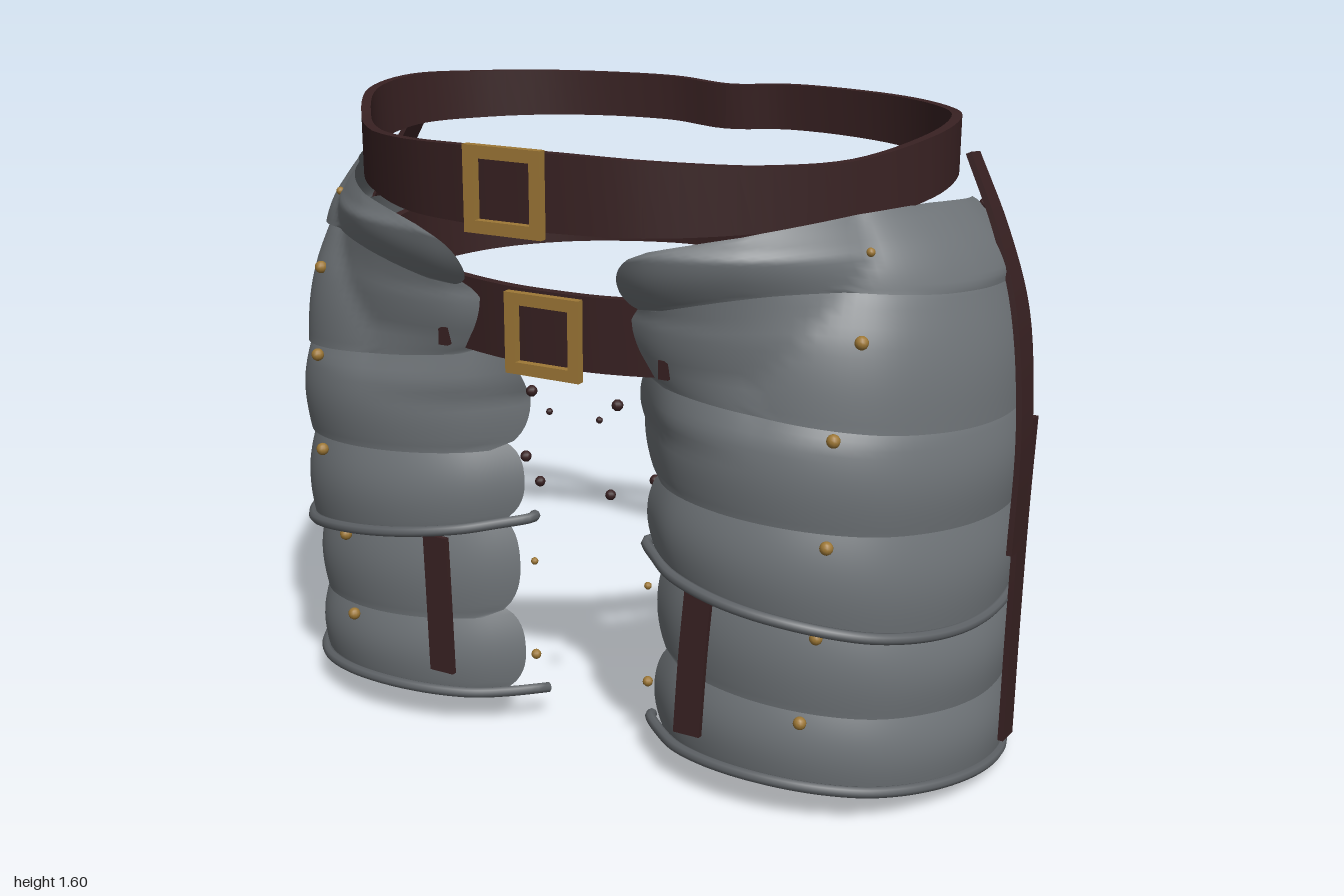
import * as THREE from 'three';
import { mergeGeometries } from 'three/addons/utils/BufferGeometryUtils.js';

const V = (x, y, z) => new THREE.Vector3(x, y, z);
const mat = (name, color, side = THREE.FrontSide) => {
  const m = new THREE.MeshStandardMaterial({ color, side });
  m.name = name;
  return m;
};

// Smooth grid surface from a rule f(u, v) -> Vector3
function grid(f, nu, nv) {
  const pos = [], idx = [];
  for (let i = 0; i <= nu; i++)
    for (let j = 0; j <= nv; j++) pos.push(...f(i / nu, j / nv).toArray());
  for (let i = 0; i < nu; i++)
    for (let j = 0; j < nv; j++) {
      const a = i * (nv + 1) + j, b = a + nv + 1;
      idx.push(a, b, a + 1, b, b + 1, a + 1);
    }
  const g = new THREE.BufferGeometry();
  g.setAttribute('position', new THREE.Float32BufferAttribute(pos, 3));
  g.setIndex(idx);
  g.computeVertexNormals();
  return g;
}

// Flat leather band along a curve; axis is the width direction
function band(points, closed, axis, width, thick, n) {
  const curve = new THREE.CatmullRomCurve3(points, closed, 'centripetal');
  const corner = (t, k) => {
    const p = curve.getPoint(t);
    const nrm = curve.getTangent(t).cross(axis).normalize();
    const a = k === 0 || k === 3 ? -0.5 : 0.5, b = k < 2 ? 0.5 : -0.5;
    return p.clone().addScaledVector(axis, a * width(p)).addScaledVector(nrm, b * thick);
  };
  const parts = [0, 1, 2, 3].map(k =>
    grid((u, v) => corner(u, k).lerp(corner(u, (k + 1) % 4), v), n, 1));
  if (!closed) [0, 1].forEach(t => parts.push(
    grid((u, v) => corner(t, 0).lerp(corner(t, 1), u).lerp(corner(t, 3).lerp(corner(t, 2), u), v), 1, 1)));
  return mergeGeometries(parts);
}

const lerp = THREE.MathUtils.lerp, clamp = THREE.MathUtils.clamp;
// Piecewise linear lookup through [key, value] pairs
function ramp(x, keys) {
  for (let i = 1; i < keys.length; i++)
    if (x <= keys[i][0] || i === keys.length - 1) {
      const [a, p] = keys[i - 1], [b, q] = keys[i];
      return lerp(p, q, clamp((x - a) / (b - a), 0, 1));
    }
}

// Thigh outline seen from above, from inner front round to outer back
const outline = new THREE.CatmullRomCurve3([
  [0.175, 0.235], [0.3, 0.355], [0.46, 0.41], [0.63, 0.4], [0.78, 0.322],
  [0.888, 0.175], [0.945, 0.01], [0.95, -0.14], [0.91, -0.28],
].map(([x, z]) => V(x, 0, z)));

// Point on the thigh at outline position u and height y, pushed outward by off
function thigh(u, y, off, depth) {
  u = clamp(u, 0, 1);
  const p = outline.getPoint(u), t = outline.getTangent(u);
  p.x -= t.z * off;
  p.z += t.x * off;
  // Upper part narrows toward the waist, its inner end juts forward
  if (p.x > 0.5) p.x = 0.5 + (p.x - 0.5) * ramp(y, [[0.95, 1], [1.27, 0.88], [1.44, 0.65]]);
  if (p.z > 0) p.z *= depth * ramp(y, [[0.95, 1], [1.18, 0.88], [1.38, 0.72]]);
  const reach = ramp(y, [[1.08, 0.3], [1.36, 0.5]]);
  p.z += Math.max(0, 1 - u / reach) * ramp(y, [[0.9, 0], [1.08, 0.11], [1.2, 0.18], [1.36, 0.34]]);
  p.y = y;
  return p;
}

// Lower edge heights of the lames, from inner front to outer back
const edges = [
  [1.345, 1.42, 1.445, 1.41],
  [1.19, 1.28, 1.26, 1.235],
  [1.04, 1.0, 0.955, 0.95],
  [0.77, 0.755, 0.72, 0.71],
  [0.575, 0.53, 0.46, 0.49],
  [0.31, 0.285, 0.255, 0.25],
  [0.09, 0.1, 0.06, 0.025],
].map(e => new THREE.SplineCurve(e.map((y, i) => new THREE.Vector2(i / 3, y))));
const edgeY = (i, u) => edges[i].getPoint(clamp(u, 0, 1)).y;

export function createModel() {
  const steel = mat('steel', 0x6f7478, THREE.DoubleSide);
  const rimSteel = mat('rim steel', 0x5d6165);
  const leather = mat('brown leather', 0x382122, THREE.DoubleSide);
  const brass = mat('brass', 0x9e7836);
  const model = new THREE.Group();
  model.name = 'thighArmour';
  const add = (parent, name, geo, m) => {
    const mesh = new THREE.Mesh(geo, m);
    mesh.name = name;
    parent.add(mesh);
    return mesh;
  };
  const Y = V(0, 1, 0);

  // Waist belts: half paths from back centre to front centre, mirrored
  const belt = (name, half, heights) => {
    const pts = half.map(p => V(...p));
    const other = pts.slice(1, -1).reverse().map(p => V(-p.x, p.y, p.z));
    add(model, name, band([...pts, ...other], true, Y, p => ramp(p.z, heights), 0.024, 120), leather);
  };
  belt('upperBelt', [[0, 1.535, -0.5], [0.18, 1.543, -0.52], [0.48, 1.545, -0.45], [0.67, 1.545, -0.31],
    [0.765, 1.545, -0.14], [0.77, 1.525, 0.03], [0.66, 1.485, 0.21], [0.5, 1.482, 0.38],
    [0.3, 1.487, 0.515], [0.12, 1.492, 0.565], [0, 1.492, 0.572]],
  [[-0.5, 0.117], [0, 0.14], [0.38, 0.145], [0.57, 0.175]]);
  belt('lowerBelt', [[0, 1.2, -0.58], [0.19, 1.197, -0.6], [0.5, 1.185, -0.53], [0.69, 1.175, -0.39],
    [0.78, 1.165, -0.22], [0.77, 1.155, -0.03], [0.69, 1.15, 0.11], [0.55, 1.145, 0.24],
    [0.35, 1.14, 0.345], [0.14, 1.135, 0.395], [0, 1.135, 0.405]],
  [[-0.6, 0.145], [-0.3, 0.165], [0.4, 0.18]]);

  // Square buckles with an open middle
  const frame = new THREE.Shape([[-1, -1], [1, -1], [1, 1], [-1, 1]].map(([x, y]) => new THREE.Vector2(x * 0.1, y * 0.098)));
  frame.holes.push(new THREE.Path([[-1, -1], [-1, 1], [1, 1], [1, -1]].map(([x, y]) => new THREE.Vector2(x * 0.071, y * 0.069))));
  const buckleGeo = new THREE.ExtrudeGeometry(frame, { depth: 0.02, bevelEnabled: false });
  add(model, 'upperBuckle', buckleGeo, brass).position.set(0, 1.49, 0.588);
  add(model, 'lowerBuckle', buckleGeo, brass).position.set(0, 1.125, 0.435);

  const rivetGeo = new THREE.SphereGeometry(0.016, 12, 8);
  const smallGeo = new THREE.SphereGeometry(0.012, 10, 6);

  for (const side of [1, -1]) {
    const leg = new THREE.Group();
    leg.name = side > 0 ? 'leftThigh' : 'rightThigh';
    leg.scale.x = side;
    model.add(leg);

    // Six bulging lames with rounded ends, each tucked under the one above
    for (let i = 0; i < 6; i++) {
      const depth = [1, 1, 1, 1, 0.88, 0.9][i], lap = i ? 0.03 : 0;
      const start = [0.05, 0.03, 0, 0.015, 0.04, 0.03][i];
      const lame = grid((a, v) => {
        const end = 0.075 * (1 - Math.pow(1 - Math.pow(Math.abs(2 * v - 1), 2.6), 1 / 2.2));
        const u = lerp(start + end, 1 - end * 0.55, a);
        const y = lerp(edgeY(i + 1, u), edgeY(i, u) + lap, v);
        return thigh(u, y, 0.022 * Math.sin(Math.PI * v) + 0.008 - 0.022 * v, depth);
      }, 48, 16);
      add(leg, 'lame' + (i + 1), lame, steel);
      // Brass rivet on the front of the lame
      const u = [0.5, 0.47, 0.43, 0.425, 0.4, 0.38][i], y = [1.365, 1.18, 0.97, 0.72, 0.48, 0.265][i];
      const r = add(leg, 'lameRivet', rivetGeo, brass);
      r.position.copy(thigh(u, y, 0.024, depth));
      if (!i) r.scale.setScalar(0.65);
    }

    // Rolled rims under the fourth and sixth lames
    const rim = (name, e, depth, first, last) => {
      const pts = [];
      for (let k = 0; k <= 16; k++) pts.push(thigh(k / 16, edgeY(e, k / 16) + 0.006, 0.013, depth));
      pts.unshift(first);
      if (last) pts.push(...last);
      add(leg, name, new THREE.TubeGeometry(new THREE.CatmullRomCurve3(pts), 80, 0.014, 8), rimSteel);
    };
    rim('middleRim', 4, 1.02, V(0.17, 0.58, 0.225));
    rim('bottomRim', 6, 0.93, V(0.155, 0.09, 0.2), [V(0.91, 0.02, -0.295), V(0.905, 0.07, -0.303)]);

    // Hanging side straps and short front strap
    const Z = V(0, 0.12, 1).normalize();
    add(leg, 'upperSideStrap', band([V(0.785, 1.52, -0.21), V(0.872, 1.35, -0.185), V(0.94, 1.17, -0.155),
      V(0.982, 0.9, -0.11), V(0.988, 0.6, -0.07)], false, Z,
    p => ramp(p.y, [[0.6, 0.075], [1.15, 0.1], [1.52, 0.065]]), 0.014, 24), leather);
    add(leg, 'lowerSideStrap', band([V(0.98, 0.91, -0.165), V(0.984, 0.7, -0.13), V(0.986, 0.4, -0.11),
      V(0.988, 0.1, -0.1)], false, Z, () => 0.075, 0.014, 16), leather);
    add(leg, 'frontStrap', band([V(0.375, 0.535, 0.375), V(0.365, 0.38, 0.383), V(0.355, 0.17, 0.39)],
      false, V(1, 0, 0), () => 0.07, 0.014, 10), leather);
    add(leg, 'strapStub', new THREE.BoxGeometry(0.025, 0.045, 0.03), leather)
      .position.copy(thigh(0.13, 1.08, 0.01, 1));

    // Small loose rivets along the inner edge
    [[0.12, 0.94, 0.31, 1.2], [0.07, 0.895, 0.31, 0.7], [0.1, 0.71, 0.31, 1.1], [0.185, 0.74, 0.24, 1.2],
      [0.165, 0.46, 0.24, 0.8], [0.165, 0.2, 0.24, 1.1], [0.8, 1.39, -0.27, 1.1]].forEach(([x, y, z, s], k) => {
      const r = add(leg, 'innerRivet', smallGeo, k > 3 && k < 6 ? brass : leather);
      r.position.set(x, y, z);
      r.scale.setScalar(s);
    });
  }
  return model;
}
